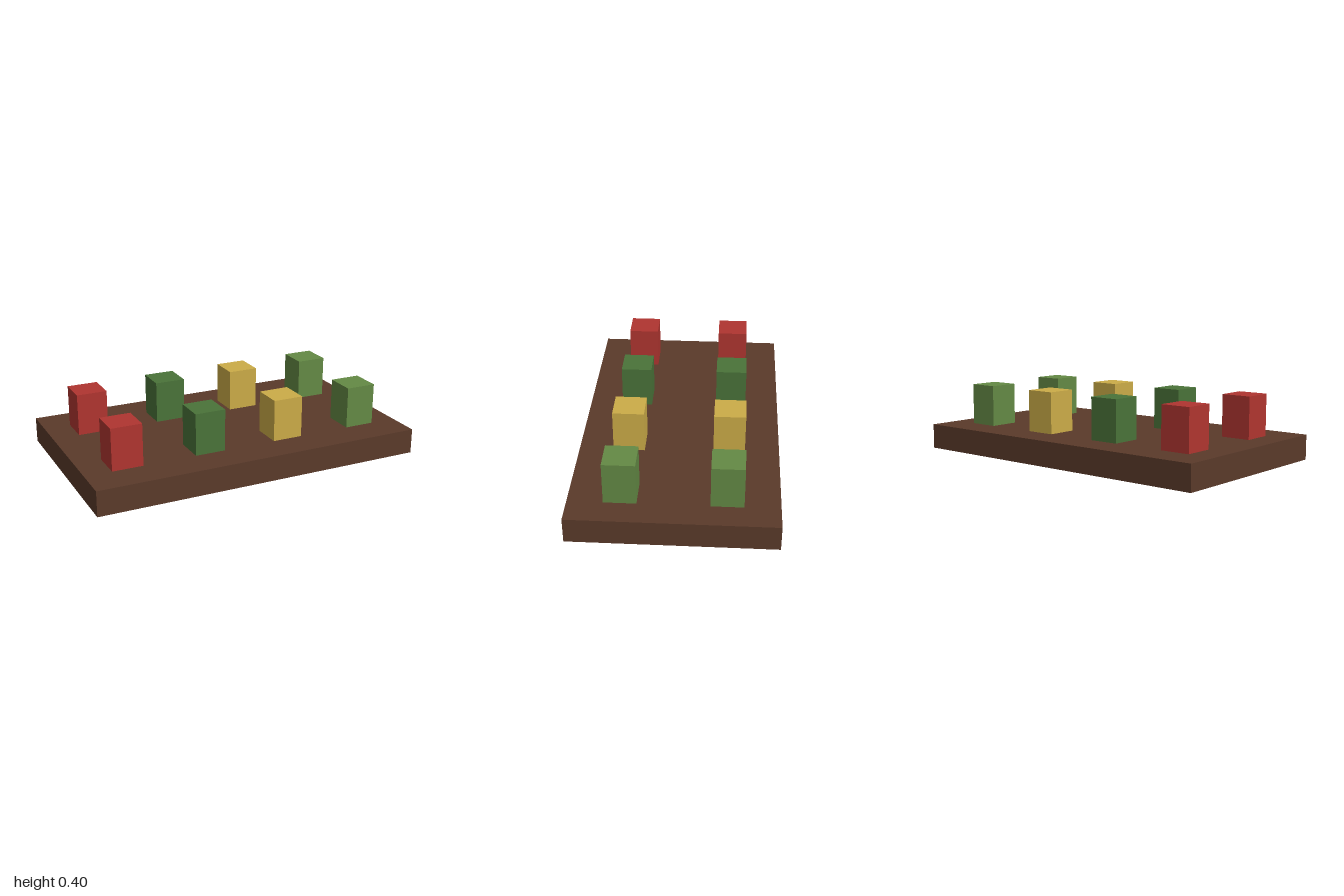
import * as THREE from 'three';

const BED = { width: 2, height: 0.15, depth: 1.166 };
const BLOCK = { size: 0.183, height: 0.25 };

// Box standing on height y
function addBox(parent, name, color, [w, h, d], [x, y, z]) {
  const material = new THREE.MeshStandardMaterial({ color });
  const mesh = new THREE.Mesh(new THREE.BoxGeometry(w, h, d), material);
  mesh.name = name;
  mesh.position.set(x, y + h / 2, z);
  parent.add(mesh);
}

export function createModel() {
  const model = new THREE.Group();
  model.name = 'plantedBed';

  // Soil slab
  addBox(model, 'soilBed', 0x5a3a2a, [BED.width, BED.height, BED.depth], [0, 0, 0]);

  // Two matching rows of crops, one colour per column
  const crops = [
    ['redCrop', 0xb03530],
    ['darkGreenCrop', 0x4a7339],
    ['yellowCrop', 0xccac48],
    ['lightGreenCrop', 0x648a45],
  ];
  for (const [row, z] of [['Front', 0.292], ['Back', -0.292]]) {
    crops.forEach(([name, color], i) => {
      addBox(model, name + row, color,
        [BLOCK.size, BLOCK.height, BLOCK.size], [-0.75 + i * 0.5, BED.height, z]);
    });
  }
  return model;
}
